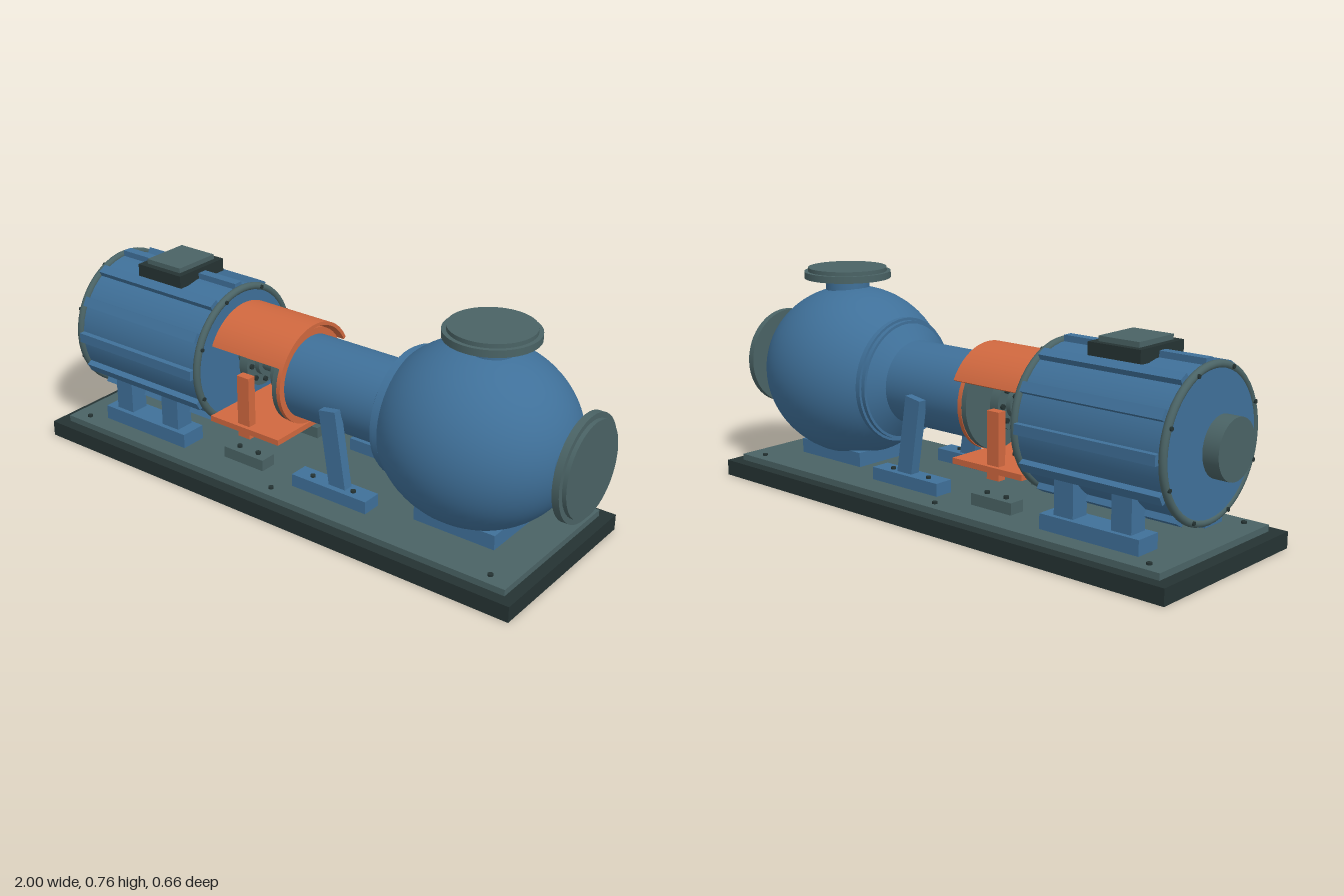
import * as THREE from 'three';

const mat = (name, color) => {
  const m = new THREE.MeshStandardMaterial({ color });
  m.name = name;
  return m;
};

export function createModel() {
  const model = new THREE.Group();
  model.name = 'pumpSkid';
  const blue = mat('blue paint', 0x3f7099);
  const steel = mat('grey green steel', 0x4a6365);
  const dark = mat('dark steel', 0x253333);
  const orange = mat('orange guard', 0xd0683f);
  const axisY = 0.388; // height of the common shaft line

  const add = (name, geo, material, x = 0, y = 0, z = 0) => {
    const m = new THREE.Mesh(geo, material);
    m.name = name;
    m.position.set(x, y, z);
    model.add(m);
    return m;
  };
  // box from its limits on each axis
  const box = (name, material, x0, x1, y0, y1, z0, z1) =>
    add(name, new THREE.BoxGeometry(x1 - x0, y1 - y0, z1 - z0), material,
      (x0 + x1) / 2, (y0 + y1) / 2, (z0 + z1) / 2);
  // cylinder lying along the shaft line
  const rod = (name, material, x0, x1, r, y = axisY, z = 0, seg = 40) =>
    add(name, new THREE.CylinderGeometry(r, r, x1 - x0, seg).rotateZ(-Math.PI / 2),
      material, (x0 + x1) / 2, y, z);
  const post = (name, material, x, y0, y1, z, r, seg = 40) =>
    add(name, new THREE.CylinderGeometry(r, r, y1 - y0, seg), material, x, (y0 + y1) / 2, z);

  // Base
  box('baseFrame', dark, -0.99, 0.935, 0, 0.055, -0.33, 0.33);
  box('basePlate', steel, -0.945, 0.895, 0.055, 0.077, -0.29, 0.29);
  for (const x of [-0.88, -0.03, 0.82])
    for (const z of [-0.25, 0.25]) post('baseBolt', dark, x, 0.077, 0.084, z, 0.009, 12);

  // Motor
  rod('motorBody', blue, -0.915, -0.35, 0.237, axisY, 0, 48);
  for (let i = 0; i < 12; i++) {
    const a = (i * Math.PI) / 6;
    const fin = add('motorFin', new THREE.BoxGeometry(0.525, 0.035, 0.034), blue,
      -0.632, axisY + Math.cos(a) * 0.239, Math.sin(a) * 0.239);
    fin.rotation.x = a;
  }
  for (const x of [-0.907, -0.357]) {
    add('motorEndRing', new THREE.TorusGeometry(0.237, 0.013, 12, 48).rotateY(Math.PI / 2),
      steel, x, axisY);
    const out = x < -0.6 ? -0.012 : 0.012;
    for (let i = 0; i < 8; i++) {
      const a = ((i + 0.5) * Math.PI) / 4;
      rod('endRingBolt', dark, x + out - 0.005, x + out + 0.005, 0.007,
        axisY + 0.237 * Math.sin(a), 0.237 * Math.cos(a), 10);
    }
  }
  rod('rearHub', steel, -0.95, -0.91, 0.03);
  rod('rearCap', steel, -1, -0.945, 0.097);
  box('terminalBox', dark, -0.73, -0.535, 0.615, 0.66, -0.11, 0.11);
  box('terminalLid', steel, -0.708, -0.557, 0.66, 0.677, -0.087, 0.087);

  // Motor feet, bearing supports and anchor blocks on both sides
  for (const s of [-1, 1]) {
    const side = (name, m, x0, x1, y0, y1, z0, z1) =>
      box(name, m, x0, x1, y0, y1, Math.min(s * z0, s * z1), Math.max(s * z0, s * z1));
    side('motorFoot', blue, -0.82, -0.445, 0.077, 0.128, 0.125, 0.22);
    for (const x of [-0.743, -0.525])
      side('motorLeg', blue, x - 0.037, x + 0.037, 0.128, 0.245, 0.135, 0.203);

    side('supportFoot', blue, 0.015, 0.315, 0.077, 0.121, 0.125, 0.195);
    const strut = add('supportStrut', new THREE.BoxGeometry(0.065, 0.28, 0.036), blue,
      0.165, 0.246, s * 0.156);
    strut.rotation.z = 0.16;
    for (const x of [0.08, 0.245])
      post('supportBolt', dark, x, 0.121, 0.128, s * 0.165, 0.009, 12);

    side('anchorBlock', steel, -0.295, -0.125, 0.077, 0.117, 0.12, 0.18);
    for (const x of [-0.25, -0.168])
      post('anchorBolt', dark, x, 0.117, 0.126, s * 0.15, 0.009, 12);
    side('guardPost', orange, -0.236, -0.186, 0.175, 0.4, 0.14, 0.172);
  }

  // Coupling
  rod('couplingShaft', steel, -0.35, -0.09, 0.032);
  for (const x of [-0.278, -0.143]) {
    rod('couplingDisc', steel, x - 0.017, x + 0.017, 0.09);
    rod('couplingHub', steel, x - 0.035, x + 0.035, 0.05);
    for (let i = 0; i < 8; i++) {
      const a = (i * Math.PI) / 4;
      rod('couplingBolt', dark, x - 0.026, x + 0.026, 0.009,
        axisY + 0.07 * Math.sin(a), 0.07 * Math.cos(a), 10);
    }
  }
  box('couplingKey', dark, -0.222, -0.198, 0.41, 0.455, -0.012, 0.012);

  // Guard: arched cover extruded along the shaft, and its tray
  const a0 = 0.475;
  const arch = new THREE.Shape();
  arch.absarc(0, 0, 0.19, a0, Math.PI - a0, false);
  arch.absarc(0, 0, 0.178, Math.PI - a0, a0, true);
  arch.closePath();
  add('guardCover', new THREE.ExtrudeGeometry(arch,
    { depth: 0.305, bevelEnabled: false, curveSegments: 32 }).rotateY(Math.PI / 2),
  orange, -0.345, axisY);
  box('guardTray', orange, -0.345, -0.05, 0.202, 0.222, -0.187, 0.187);

  // Bearing housing
  rod('housingFlange', steel, -0.09, -0.07, 0.166);
  rod('housingRing', orange, -0.07, -0.055, 0.168);
  rod('bearingHousing', blue, -0.055, 0.31, 0.145, axisY, 0, 48);

  // Pump casing: a slightly long ball turned about the shaft line
  const profile = [];
  for (let i = 0; i <= 32; i++) {
    const t = -0.78 + (i / 32) * (Math.PI / 2 + 0.78);
    profile.push(new THREE.Vector2(Math.max(0, 0.302 * Math.cos(t)), 0.335 * Math.sin(t)));
  }
  add('pumpCasing', new THREE.LatheGeometry(profile, 56).rotateZ(-Math.PI / 2),
    blue, 0.603, axisY);
  add('casingNeck', new THREE.CylinderGeometry(0.2, 0.145, 0.04, 48).rotateZ(-Math.PI / 2),
    blue, 0.318, axisY);
  rod('casingRing', blue, 0.337, 0.352, 0.208, axisY, 0, 48);
  rod('casingFlange', blue, 0.352, 0.37, 0.217, axisY, 0, 48);
  box('pumpFoot', blue, 0.455, 0.755, 0.077, 0.128, -0.125, 0.125);

  // Suction nozzle
  rod('suctionNeck', blue, 0.9, 0.965, 0.092);
  rod('suctionFlange', steel, 0.962, 0.986, 0.175, axisY, 0, 48);
  rod('suctionFace', steel, 0.986, 1, 0.157, axisY, 0, 48);

  // Discharge nozzle
  post('dischargeNeck', blue, 0.633, 0.64, 0.72, 0, 0.077);
  post('dischargeFlange', steel, 0.633, 0.718, 0.742, 0, 0.153, 48);
  post('dischargeFace', steel, 0.633, 0.742, 0.756, 0, 0.139, 48);

  return model;
}
